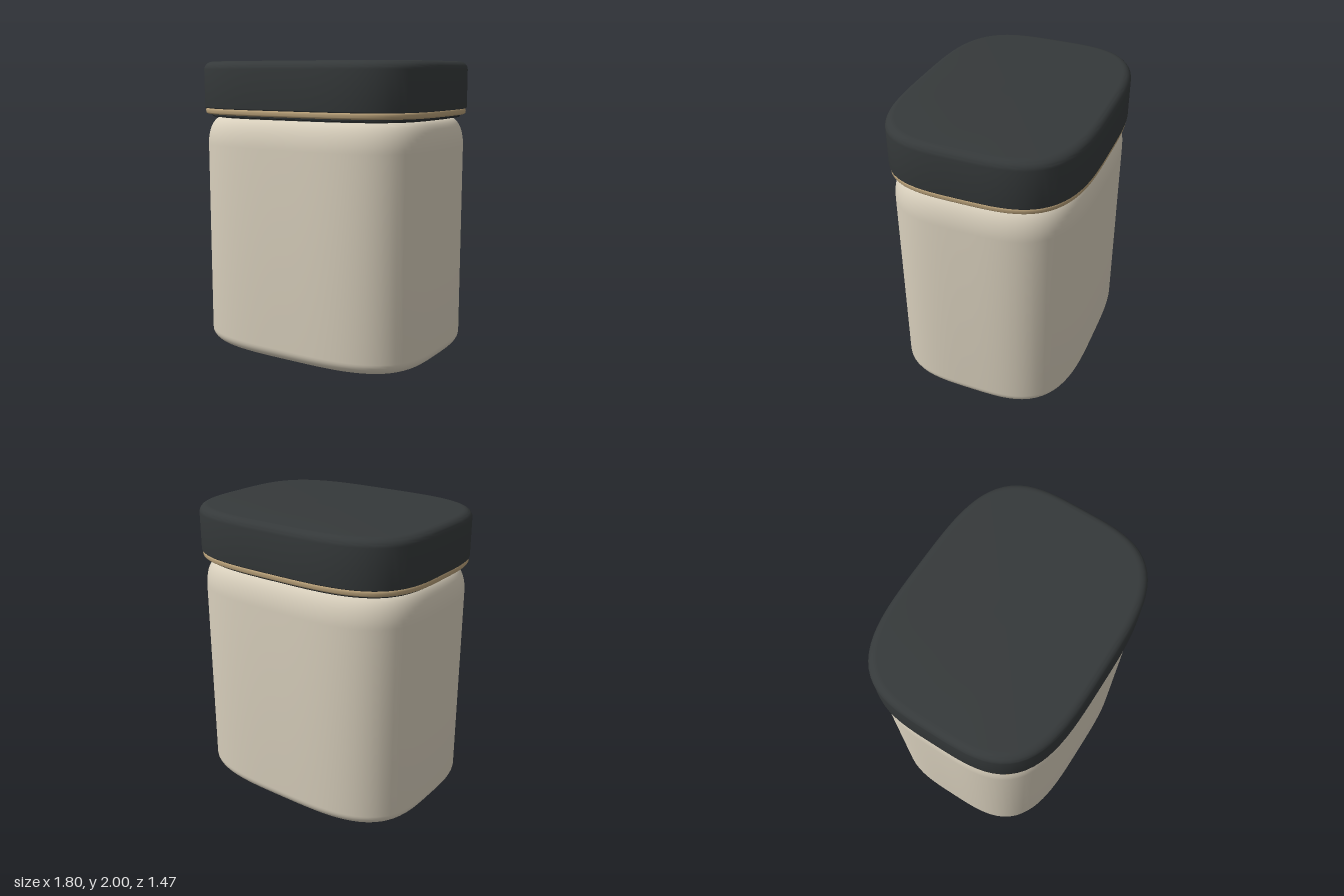
import * as THREE from 'three';
import { toCreasedNormals } from 'three/addons/utils/BufferGeometryUtils.js';

const SIDES = 112, POWER = 3.5, HALF_X = 0.868, HALF_Z = 0.669;

// Solid built by stacking superellipse rings; profile = [inset from the lid outline, y], bottom to top
function stack(profile) {
  const pos = [], index = [];
  for (const [inset, y] of profile) {
    const a = HALF_X - inset, b = HALF_Z - inset;
    for (let i = 0; i < SIDES; i++) {
      const t = (i / SIDES) * Math.PI * 2, c = Math.cos(t), s = Math.sin(t);
      const r = (Math.abs(c / a) ** POWER + Math.abs(s / b) ** POWER) ** (-1 / POWER);
      pos.push(r * c, y, r * s);
    }
  }
  const rings = profile.length, bottom = rings * SIDES, top = bottom + 1;
  pos.push(0, profile[0][1], 0, 0, profile[rings - 1][1], 0);
  for (let i = 0; i < SIDES; i++) {
    const j = (i + 1) % SIDES;
    for (let k = 0; k < rings - 1; k++) {
      const p = k * SIDES, q = p + SIDES;
      index.push(p + i, q + i, q + j, p + i, q + j, p + j);
    }
    const last = (rings - 1) * SIDES;
    index.push(bottom, i, j, top, last + j, last + i);
  }
  const g = new THREE.BufferGeometry();
  g.setAttribute('position', new THREE.Float32BufferAttribute(pos, 3));
  g.setIndex(index);
  return toCreasedNormals(g, 0.6);
}

// Quarter-ellipse edge: w wide, h high, meeting the wall at the given inset and height
function edge(inset, y, w, h, up, steps = 10) {
  const pts = [];
  for (let i = 0; i <= steps; i++) {
    const t = (i / steps) * Math.PI / 2;
    pts.push([inset + w * (1 - Math.cos(t)), y + (up ? h : -h) * Math.sin(t)]);
  }
  return up ? pts : pts.reverse();
}

export function createModel() {
  const model = new THREE.Group();
  const add = (name, color, profile) => {
    const mesh = new THREE.Mesh(stack(profile), new THREE.MeshStandardMaterial({ color }));
    mesh.name = name;
    model.add(mesh);
  };

  // Jar with soft base and sloping shoulder
  add('jarBody', 0xd8cfbc, [
    ...edge(0.018, 0.09, 0.1, 0.09, false),
    ...edge(0.018, 1.43, 0.085, 0.19, true, 14),
  ]);

  // Recessed neck and the dark gasket beneath the lid
  add('neck', 0x2a2e2f, [[0.09, 1.6], [0.09, 1.65]]);
  add('gasket', 0x2a2e2f, [[0.045, 1.625], [0.04, 1.63], [0.04, 1.66]]);

  // Rounded trim band
  add('trimBand', 0xb79f78, [
    ...edge(0.006, 1.658, 0.016, 0.016, false, 6),
    ...edge(0.006, 1.67, 0.016, 0.016, true, 6),
  ]);

  // Lid with rounded top edge
  add('lid', 0x35393a, [
    ...edge(0, 1.69, 0.008, 0.008, false, 3),
    ...edge(0, 1.945, 0.055, 0.055, true),
  ]);

  model.rotation.y = -0.22;
  const root = new THREE.Group();
  root.name = 'canister';
  root.add(model);
  return root;
}
